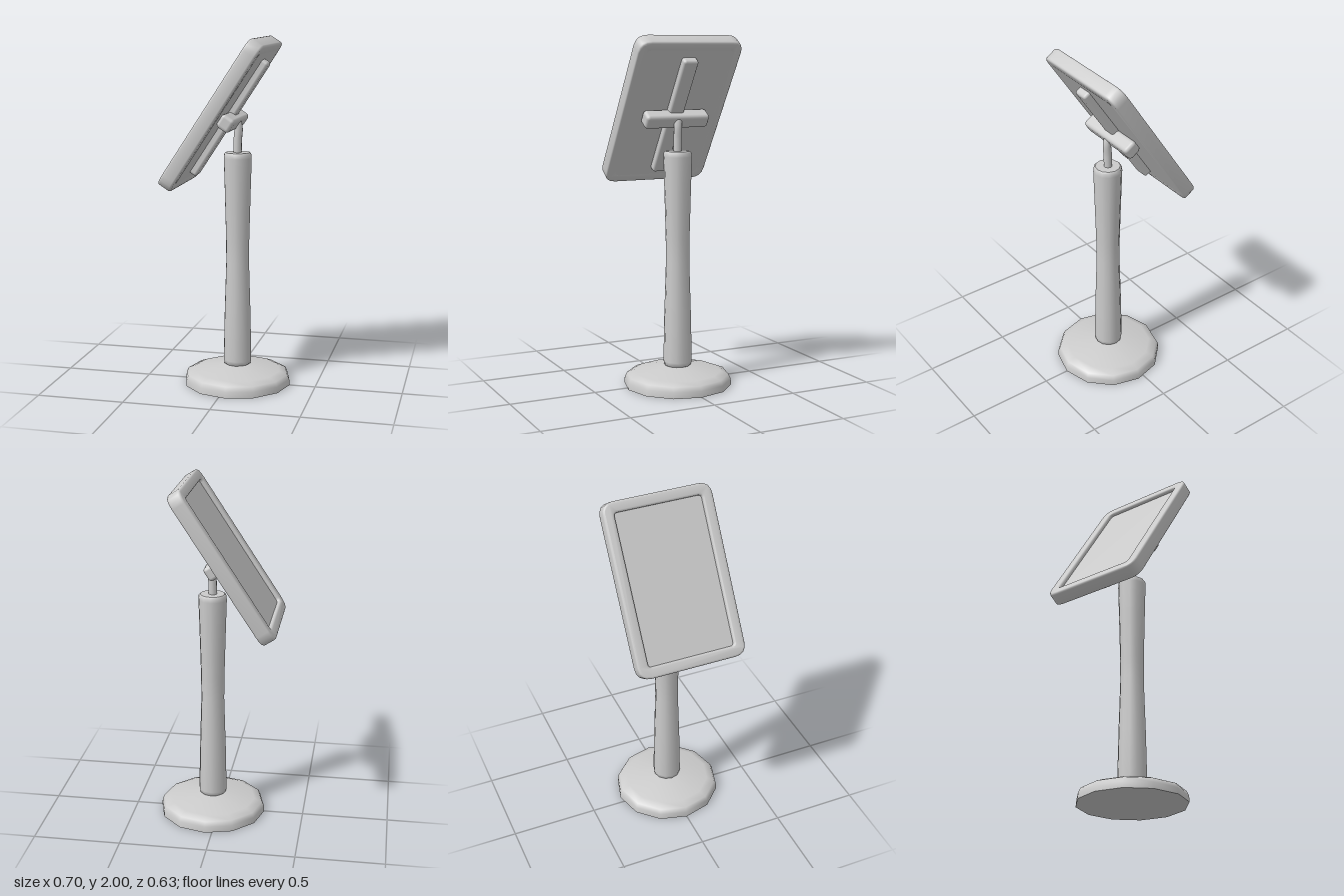
import * as THREE from 'three';
import { toCreasedNormals } from 'three/addons/utils/BufferGeometryUtils.js';
import { RoundedBoxGeometry } from 'three/addons/geometries/RoundedBoxGeometry.js';

const material = new THREE.MeshStandardMaterial({ color: 0xcccccc });

function addMesh(parent, name, geometry, x = 0, y = 0, z = 0) {
  const mesh = new THREE.Mesh(geometry, material);
  mesh.name = name;
  mesh.position.set(x, y, z);
  parent.add(mesh);
  return mesh;
}

function lathe(profile, sides) {
  return new THREE.LatheGeometry(profile.map(([r, y]) => new THREE.Vector2(r, y)), sides);
}

// Rounded rectangle centred on the origin
function roundedRect(target, w, h, r) {
  const x = w / 2, y = h / 2;
  target.moveTo(-x + r, -y);
  target.lineTo(x - r, -y);
  target.quadraticCurveTo(x, -y, x, -y + r);
  target.lineTo(x, y - r);
  target.quadraticCurveTo(x, y, x - r, y);
  target.lineTo(-x + r, y);
  target.quadraticCurveTo(-x, y, -x, y - r);
  target.lineTo(-x, -y + r);
  target.quadraticCurveTo(-x, -y, -x + r, -y);
  return target;
}

export function createModel() {
  const model = new THREE.Group();
  model.name = 'displayStand';
  const axisX = 0.04;

  // Twelve-sided foot; repeated points keep the bottom edge sharp
  addMesh(model, 'base', lathe([
    [0, 0], [0.31, 0], [0.31, 0], [0.308, 0.035], [0.295, 0.062],
    [0.25, 0.08], [0.08, 0.112], [0, 0.114],
  ], 12), axisX);

  // Pole with a slim waist
  addMesh(model, 'pole', lathe([
    [0, 0.108], [0.065, 0.108], [0.078, 0.118], [0.082, 0.14], [0.077, 0.4],
    [0.067, 0.72], [0.068, 0.85], [0.076, 1.15], [0.081, 1.32],
    [0.079, 1.343], [0.07, 1.352], [0.07, 1.352], [0, 1.352],
  ], 12), axisX);

  // Bent neck
  const neckPath = new THREE.CatmullRomCurve3([
    [0.038, 1.33], [0.04, 1.42], [0.044, 1.495], [0.032, 1.532], [0, 1.548],
  ].map(([x, y]) => new THREE.Vector3(x, y, 0)));
  addMesh(model, 'neck', new THREE.TubeGeometry(neckPath, 16, 0.024, 10));

  // Tilted head: local y runs up the panel, local z is its front normal
  const head = new THREE.Group();
  head.name = 'head';
  const tilt = THREE.MathUtils.degToRad(33.2);
  const s = Math.sin(tilt), c = Math.cos(tilt);
  head.setRotationFromMatrix(new THREE.Matrix4().makeBasis(
    new THREE.Vector3(0, 0, 1), new THREE.Vector3(s, c, 0), new THREE.Vector3(-c, s, 0)));
  head.position.set(-0.055, 1.578, 0);
  model.add(head);

  const width = 0.63, height = 0.96, thick = 0.084, rim = 0.062, bevel = 0.012;
  const holeW = width - 2 * rim, holeH = height - 2 * rim;

  // Raised frame
  const outline = roundedRect(new THREE.Shape(), width, height, 0.07);
  outline.holes.push(roundedRect(new THREE.Path(), holeW, holeH, 0.02));
  const frame = new THREE.ExtrudeGeometry(outline, {
    depth: thick - 2 * bevel, bevelThickness: bevel, bevelSize: bevel,
    bevelOffset: -bevel, bevelSegments: 3, curveSegments: 4,
  });
  frame.translate(0, 0, bevel - thick / 2);
  addMesh(head, 'frame', toCreasedNormals(frame, 0.7));

  // Recessed screen, flush with the frame at the back
  const screenDepth = thick - 0.022;
  addMesh(head, 'screen', new THREE.BoxGeometry(holeW + 2 * bevel, holeH + 2 * bevel, screenDepth - 0.0005),
    0, 0, -0.011);

  // Long rail and cross bar on the back
  addMesh(head, 'backRail', new RoundedBoxGeometry(0.09, 0.77, 0.06, 2, 0.016), 0, -0.002, -0.053);
  addMesh(head, 'crossBar', new RoundedBoxGeometry(0.39, 0.084, 0.082, 2, 0.02), 0, -0.002, -0.081);

  return model;
}
